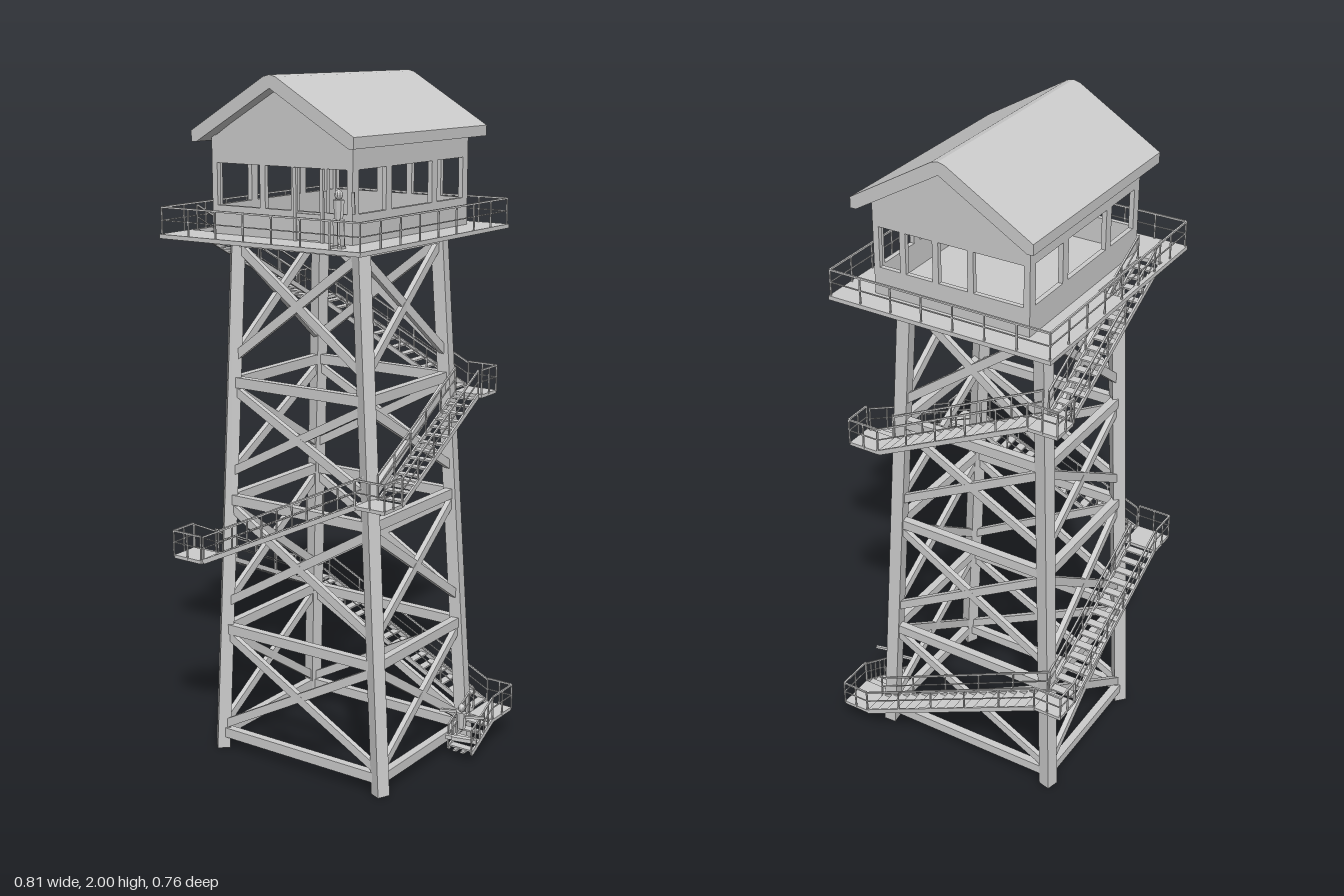
import * as THREE from 'three';

const grey = new THREE.MeshStandardMaterial({ color: 0xcccccc, flatShading: true, side: THREE.DoubleSide });
const V = (x, y, z) => new THREE.Vector3(x, y, z);

function group(name, parent) {
  const g = new THREE.Group();
  g.name = name;
  parent.add(g);
  return g;
}

function add(parent, name, geometry) {
  const m = new THREE.Mesh(geometry, grey);
  m.name = name;
  parent.add(m);
  return m;
}

// Box given by its lower and upper corners
function block(parent, name, x0, x1, y0, y1, z0, z1) {
  const m = add(parent, name, new THREE.BoxGeometry(x1 - x0, y1 - y0, z1 - z0));
  m.position.set((x0 + x1) / 2, (y0 + y1) / 2, (z0 + z1) / 2);
  return m;
}

// Square-section bar running from a to b
function bar(parent, name, a, b, w, h = w) {
  const m = add(parent, name, new THREE.BoxGeometry(w, h, a.distanceTo(b)));
  m.position.copy(a).lerp(b, 0.5);
  m.lookAt(b);
  return m;
}

// Posts with a top and a middle rail along a straight edge
function railing(parent, a, b, height, count) {
  const up = (p, k) => p.clone().setY(p.y + height * k);
  bar(parent, 'topRail', up(a, 1), up(b, 1), 0.005);
  bar(parent, 'midRail', up(a, 0.55), up(b, 0.55), 0.003);
  for (let i = 0; i <= count; i++) {
    const p = a.clone().lerp(b, i / count);
    bar(parent, 'railPost', p, up(p, 1), 0.004);
  }
}

// Centre line of each tapering leg, by side signs and height
const TOP = 1.555;
function legPoint(sx, sz, y) {
  const t = y / TOP, mix = THREE.MathUtils.lerp;
  return V(sx > 0 ? mix(0.264, 0.159, t) : mix(-0.31, -0.26, t), y,
    sz > 0 ? mix(0.228, 0.178, t) : mix(-0.232, -0.219, t));
}

function buildTower(root) {
  const tower = group('towerFrame', root);
  const corners = [[1, 1], [1, -1], [-1, -1], [-1, 1]];
  const levels = [0.05, 0.38, 0.78, 1.13, 1.535];
  const bays = [[0.07, 0.365], [0.46, 0.76], [0.86, 1.11], [1.2, 1.525]];
  corners.forEach((c, i) => {
    const d = corners[(i + 1) % 4];
    bar(tower, 'leg', legPoint(...c, 0), legPoint(...c, TOP), 0.038);
    for (const y of levels) bar(tower, 'crossBeam', legPoint(...c, y), legPoint(...d, y), 0.024, 0.03);
    for (const [y0, y1] of bays) {
      bar(tower, 'diagonalBrace', legPoint(...c, y0), legPoint(...d, y1), 0.016, 0.025);
      bar(tower, 'diagonalBrace', legPoint(...d, y0), legPoint(...c, y1), 0.016, 0.025);
    }
  });
}

// Straight flight of open treads between two landings
function flight(parent, a, b, width, steps) {
  const g = group('stairFlight', parent);
  const run = b.clone().sub(a).setY(0).normalize();
  const side = V(-run.z, 0, run.x).multiplyScalar(width / 2);
  for (const s of [1, -1]) {
    const p = a.clone().addScaledVector(side, s), q = b.clone().addScaledVector(side, s);
    bar(g, 'stringer', p, q, 0.006, 0.014);
    railing(g, p, q, 0.075, 5);
  }
  for (let i = 0; i < steps; i++) {
    const m = add(g, 'tread', new THREE.BoxGeometry(width, 0.005, 0.026));
    m.position.copy(a).lerp(b, (i + 0.5) / steps);
    m.lookAt(m.position.clone().add(run));
  }
}

// Corner landing with railings on its two outer edges
function landing(parent, x0, x1, z0, z1, y) {
  const g = group('landing', parent);
  block(g, 'landingFloor', x0, x1, y - 0.006, y + 0.004, z0, z1);
  const ox = x0 + x1 > 0 ? x1 : x0, oz = z0 + z1 > 0 ? z1 : z0;
  railing(g, V(ox, y, z0), V(ox, y, z1), 0.078, 2);
  railing(g, V(x0, y, oz), V(x1, y, oz), 0.078, 2);
}

function buildStairs(root) {
  const stairs = group('stairs', root);
  landing(stairs, 0.285, 0.37, -0.335, -0.22, 0.088);
  landing(stairs, -0.402, -0.315, -0.335, -0.25, 0.38);
  landing(stairs, -0.402, -0.3, 0.235, 0.325, 0.613);
  landing(stairs, 0.215, 0.312, 0.2, 0.288, 0.858);
  landing(stairs, 0.2, 0.295, -0.33, -0.245, 1.078);
  landing(stairs, -0.37, -0.28, -0.33, -0.245, 1.312);

  flight(stairs, V(0.328, 0.025, -0.1), V(0.328, 0.088, -0.22), 0.08, 4);
  flight(stairs, V(0.285, 0.088, -0.293), V(-0.315, 0.38, -0.293), 0.082, 17);
  flight(stairs, V(-0.358, 0.38, -0.25), V(-0.358, 0.613, 0.235), 0.082, 14);
  flight(stairs, V(-0.3, 0.613, 0.279), V(0.215, 0.858, 0.25), 0.075, 15);
  flight(stairs, V(0.272, 0.858, 0.2), V(0.245, 1.078, -0.245), 0.075, 14);
  flight(stairs, V(0.2, 1.078, -0.288), V(-0.28, 1.312, -0.288), 0.08, 14);
  flight(stairs, V(-0.328, 1.312, -0.245), V(-0.328, 1.56, 0.235), 0.066, 15);
}

function buildPlatform(root) {
  const g = group('platform', root);
  const [x0, x1, z0, z1] = [-0.376, 0.296, -0.383, 0.38];
  // Deck with a stair hatch; shape y is -z
  const rect = (P, a, b, c, d) => new P([[a, c], [b, c], [b, d], [a, d]].map(p => new THREE.Vector2(p[0], -p[1])));
  const shape = rect(THREE.Shape, x0, x1, z0, z1);
  shape.holes.push(rect(THREE.Path, -0.363, -0.295, 0.01, 0.25));
  const deck = add(g, 'deck', new THREE.ExtrudeGeometry(shape, { depth: 0.012, bevelEnabled: false }));
  deck.rotation.x = -Math.PI / 2;
  deck.position.y = 1.554;
  const c = [[x0, z0], [x1, z0], [x1, z1], [x0, z1]].map(p => V(p[0] * 0.985, 1.56, p[1] * 0.985));
  c.forEach((p, i) => railing(g, p, c[(i + 1) % 4], 0.08, i % 2 ? 8 : 7));
}

function buildCabin(root) {
  const g = group('cabin', root);
  const [x0, x1, z0, z1] = [-0.27, 0.2, -0.305, 0.275], t = 0.014;
  const sill = 1.645, head = 1.76, eave = 1.835, mid = -0.035;
  block(g, 'cabinFloor', x0, x1, 1.562, 1.57, z0, z1);
  // Wall bands below and above the open windows
  for (const [name, y0, y1] of [['lowerWall', 1.565, sill], ['upperWall', head, eave]]) {
    block(g, name, x0, x1, y0, y1, z1 - t, z1);
    block(g, name, x0, x1, y0, y1, z0, z0 + t);
    block(g, name, x0, x0 + t, y0, y1, z0 + t, z1 - t);
    block(g, name, x1 - t, x1, y0, y1, z0 + t, z1 - t);
  }
  // Window posts
  for (const z of [z0, z1 - t]) for (const x of [x0, -0.105, 0.0, 0.1, x1 - 0.018])
    block(g, 'windowPost', x, x + 0.018, sill, head, z, z + t);
  for (const x of [x0, x1 - t]) for (const z of [z0, -0.14, 0.09, z1 - 0.028])
    block(g, 'windowPost', x, x + t, sill, head, z, z + 0.028);
  // Door in the front wall
  block(g, 'doorPanel', 0.022, 0.1, 1.57, sill - 0.005, z1, z1 + 0.005);
  for (const x of [0.012, 0.1]) block(g, 'doorFrame', x, x + 0.01, 1.566, head, z1, z1 + 0.008);

  // Gable ends
  const gable = new THREE.Shape([[x0, eave - 0.01], [x1, eave - 0.01], [mid, 1.972]].map(p => new THREE.Vector2(...p)));
  for (const z of [z0, z1 - t])
    add(g, 'gable', new THREE.ExtrudeGeometry(gable, { depth: t, bevelEnabled: false })).position.z = z;

  // Pitched roof with a small flattened ridge
  const half = [[0.269, 1.848], [0.269, 1.818], [0.252, 1.818]];
  const profile = [
    [-0.02, 1.995], ...half.map(p => [-p[0], p[1]]), [0, 1.965],
    ...half.slice().reverse(), [0.02, 1.995], [0, 2],
  ].map(p => new THREE.Vector2(p[0] + mid, p[1]));
  const roof = add(g, 'roof', new THREE.ExtrudeGeometry(new THREE.Shape(profile), { depth: 0.67, bevelEnabled: false }));
  roof.position.z = -0.35;
}

// Small figure standing with arms outstretched
function buildFigure(root, x, y, z) {
  const g = group('figure', root);
  g.position.set(x, y, z);
  for (const s of [1, -1]) {
    bar(g, 'figureLeg', V(s * 0.013, 0, 0), V(s * 0.008, 0.075, 0), 0.012);
    bar(g, 'figureArm', V(s * 0.015, 0.118, 0), V(s * 0.073, 0.116, -0.005), 0.008);
    block(g, 'figureFoot', s * 0.013 - 0.006, s * 0.013 + 0.006, 0, 0.006, -0.006, 0.016);
  }
  const torso = add(g, 'figureTorso', new THREE.CylinderGeometry(0.018, 0.013, 0.052, 8));
  torso.scale.z = 0.6;
  torso.position.y = 0.098;
  const headMesh = add(g, 'figureHead', new THREE.SphereGeometry(0.011, 10, 8));
  headMesh.scale.y = 1.2;
  headMesh.position.y = 0.137;
}

export function createModel() {
  const root = new THREE.Group();
  root.name = 'lookoutTower';
  buildTower(root);
  buildStairs(root);
  buildPlatform(root);
  buildCabin(root);
  buildFigure(root, 0.198, 1.566, 0.335);
  buildFigure(root, 0.33, 0.025, -0.105);
  return root;
}
